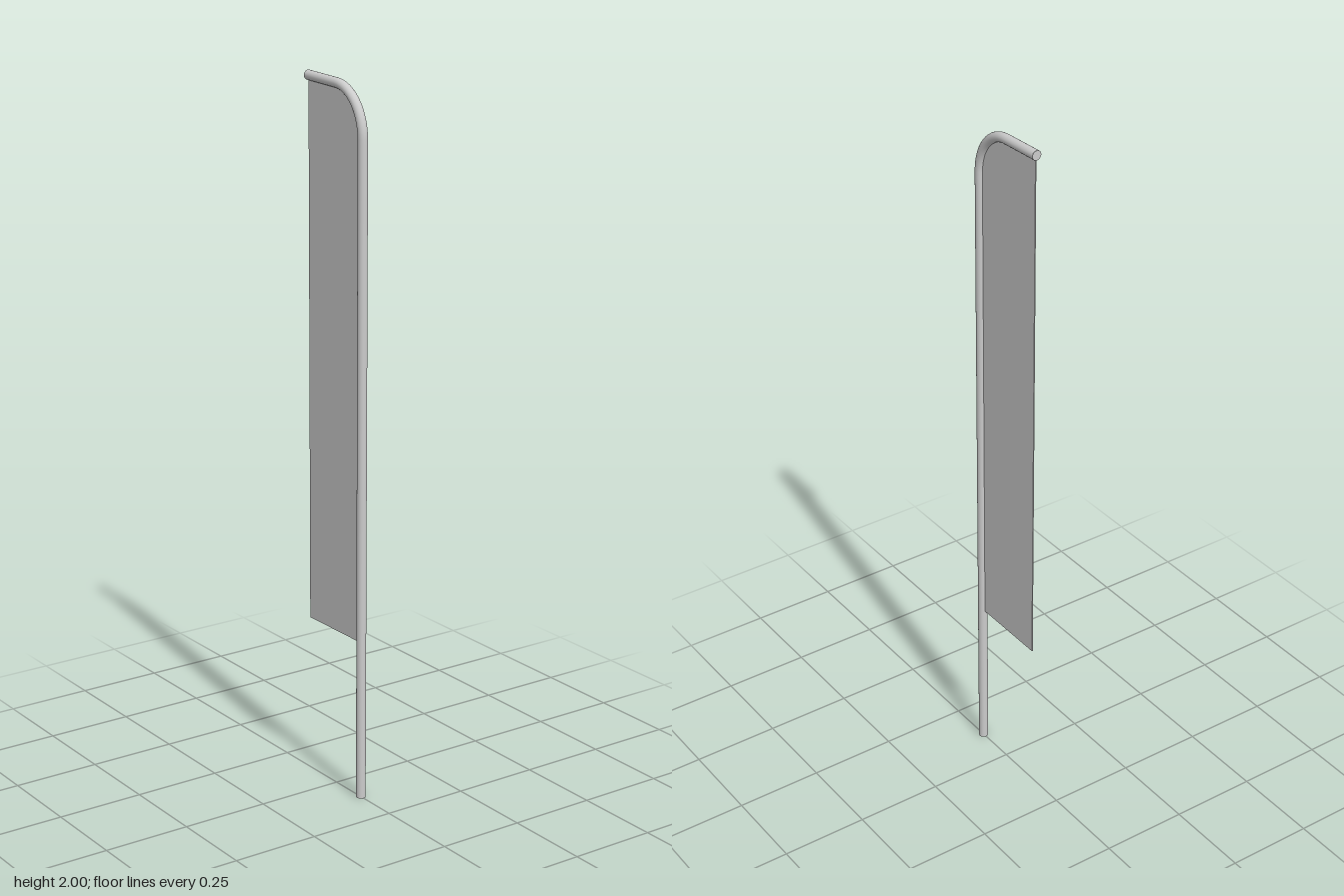
import * as THREE from 'three';

const RADIUS = 0.0135, POLE_X = 0.117, THICKNESS = 0.003;

export function createModel() {
  const model = new THREE.Group();
  model.name = 'featherBanner';
  const material = new THREE.MeshStandardMaterial({ color: 0xcccccc });
  const add = (name, geometry, mat = material) => {
    const mesh = new THREE.Mesh(geometry, mat);
    mesh.name = name;
    model.add(mesh);
    return mesh;
  };

  // Centre line: upright, rounded bend, slightly rising arm
  const v = (x, y) => new THREE.Vector3(x, y, 0);
  const foot = v(POLE_X, 0), bendStart = v(POLE_X, 1.845);
  const bendEnd = v(0, 1.981), tip = v(-0.131, 1.9865);
  const bend = new THREE.CubicBezierCurve3(bendStart, v(POLE_X, 1.92), v(0.064, 1.978), bendEnd);
  const path = new THREE.CurvePath();
  path.add(new THREE.LineCurve3(foot, bendStart));
  path.add(bend);
  path.add(new THREE.LineCurve3(bendEnd, tip));

  // Round pole with flat closed ends
  add('pole', new THREE.TubeGeometry(path, 160, RADIUS, 20));
  const cap = new THREE.CircleGeometry(RADIUS, 20);
  const footCap = add('poleFootCap', cap);
  footCap.position.copy(foot);
  footCap.rotation.x = Math.PI / 2;
  const tipCap = add('poleTipCap', cap);
  tipCap.position.copy(tip);
  tipCap.rotation.y = -Math.PI / 2;

  // Thin cloth whose upper and outer edges follow the pole
  const outline = [
    v(-0.127, 0.46), v(POLE_X, 0.46), ...bend.getPoints(16), v(-0.127, 1.986),
  ].map((p) => new THREE.Vector2(p.x, p.y));
  const cloth = new THREE.ExtrudeGeometry(new THREE.Shape(outline), { depth: THICKNESS, bevelEnabled: false });
  cloth.translate(0, 0, -THICKNESS / 2);
  add('cloth', cloth);

  return model;
}
